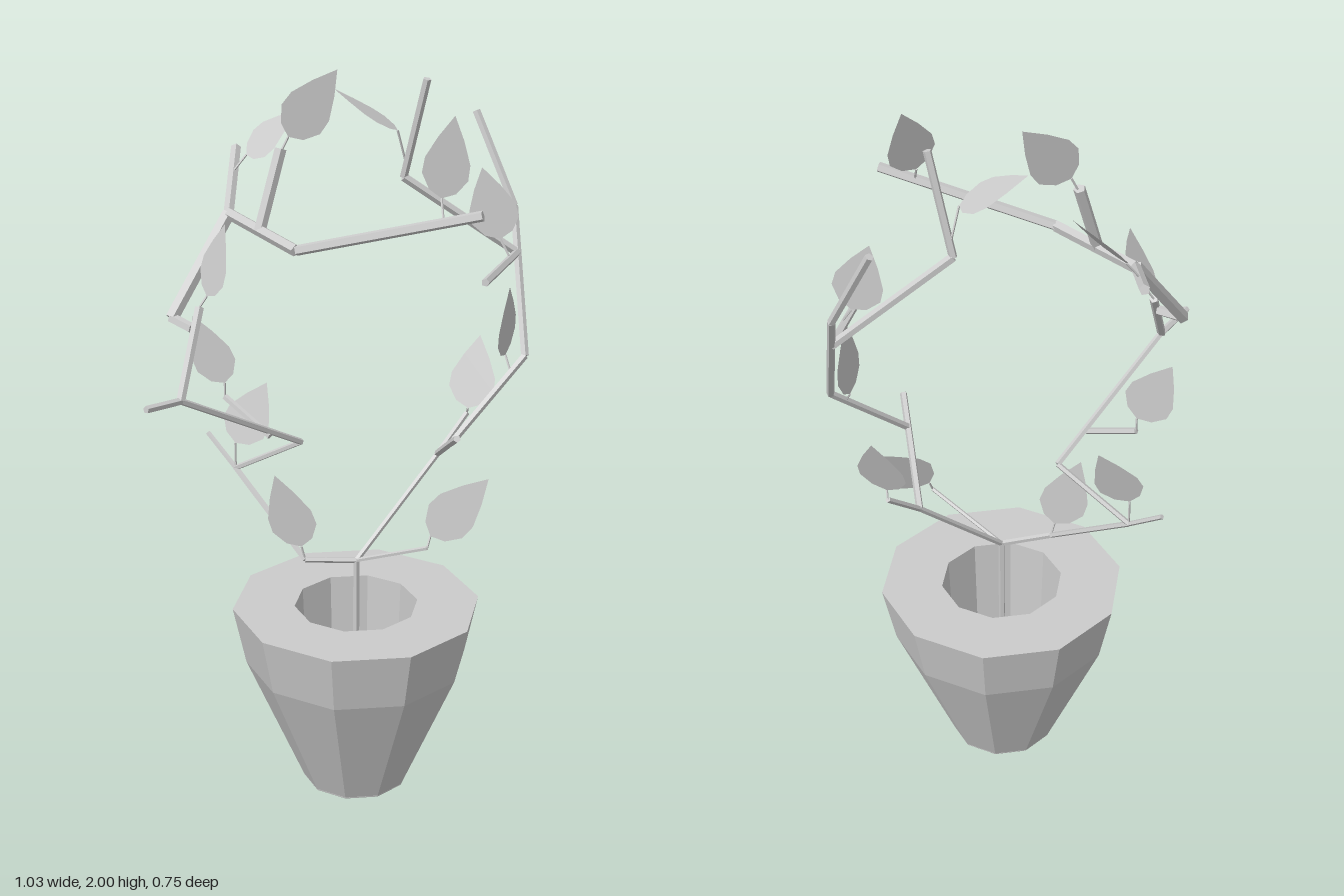
import * as THREE from 'three';

const grey = new THREE.MeshStandardMaterial({ color: 0xcccccc, flatShading: true });
const greyDouble = new THREE.MeshStandardMaterial({ color: 0xcccccc, flatShading: true, side: THREE.DoubleSide });
const V = (p) => new THREE.Vector3(...p);

// Straight rod with few sides between two points
function rod(name, a, b, r0, r1 = r0, sides = 5) {
  const dir = V(b).sub(V(a));
  const mesh = new THREE.Mesh(new THREE.CylinderGeometry(r1, r0, dir.length(), sides), grey);
  mesh.quaternion.setFromUnitVectors(new THREE.Vector3(0, 1, 0), dir.clone().normalize());
  mesh.position.copy(V(a)).addScaledVector(dir, 0.5);
  mesh.name = name;
  return mesh;
}

// Flat pointed leaf outline, length 1 along y, full width 1
const leafShape = new THREE.Shape([
  [0, 0], [0.28, 0.08], [0.48, 0.26], [0.47, 0.45], [0.27, 0.72],
  [0, 1], [-0.27, 0.72], [-0.47, 0.45], [-0.48, 0.26], [-0.28, 0.08],
].map(([x, y]) => new THREE.Vector2(x, y)));
const leafGeometry = new THREE.ShapeGeometry(leafShape);

// Leaf from base to tip, widened along side, with a thin stalk to its twig
function leaf({ base, tip, side, from }) {
  const group = new THREE.Group();
  group.name = 'leaf';
  const up = V(tip).sub(V(base));
  const unit = up.clone().normalize();
  const across = V(side);
  across.addScaledVector(unit, -across.dot(unit)).normalize();
  const normal = across.clone().cross(unit);
  const blade = new THREE.Mesh(leafGeometry, greyDouble);
  blade.name = 'leafBlade';
  blade.quaternion.setFromRotationMatrix(new THREE.Matrix4().makeBasis(across, unit, normal));
  blade.scale.set(0.135, up.length(), 1);
  blade.position.copy(V(base));
  group.add(blade, rod('leafStalk', from, base, 0.003, 0.003, 4));
  return group;
}

export function createModel() {
  const model = new THREE.Group();
  model.name = 'pottedTree';

  // Ten-sided hollow pot with a drain hole
  const profile = [[0.07, 0], [0.145, 0], [0.305, 0.375], [0.34, 0.54], [0.17, 0.54], [0.147, 0.003]];
  const pot = new THREE.Mesh(
    new THREE.LatheGeometry(profile.map(([x, y]) => new THREE.Vector2(x, y)), 10, Math.PI / 2),
    greyDouble);
  pot.name = 'pot';
  pot.position.set(0.05, 0, 0.05);
  model.add(pot);

  // Joints where branches meet
  const fork = [0.05, 0.67, 0.05];
  const l1 = [-0.09, 0.68, 0.05], l2 = [-0.26, 0.865, -0.17], l3 = [-0.09, 0.99, -0.04];
  const l4 = [-0.42, 1.22, 0.2], l5 = [-0.43, 1.38, 0.02], l6 = [-0.27, 1.62, -0.1];
  const l7 = [-0.12, 1.6, 0.17], twigLeft = [-0.29, 1.11, -0.09];
  const r1 = [0.22, 0.77, 0.2], r2 = [0.29, 0.92, -0.08], r2End = [0.38, 1.01, -0.145];
  const r3 = [0.29, 1.04, 0.13], r4 = [0.5, 1.24, 0.03], r5 = [0.5, 1.59, -0.18];
  const r6 = [0.5, 1.48, -0.115], r7 = [0.19, 1.7, -0.11];

  model.add(rod('trunk', [0.05, 0.3, 0.05], fork, 0.009));

  // [start, end, radius] of each branch, left half then right half
  const branches = [
    [fork, l1, 0.008], [l1, l2, 0.008], [l2, [-0.33, 0.94, -0.25], 0.007],
    [l2, l3, 0.008], [l3, l4, 0.009], [l4, [-0.51, 1.235, 0.285], 0.01],
    [[-0.18, 1.04, 0.03], twigLeft, 0.009],
    [l4, [-0.36, 1.42, 0.06], 0.012], [[-0.38, 1.37, 0.08], l5, 0.014],
    [l5, l6, 0.018], [l6, [-0.23, 1.72, -0.37], 0.014],
    [l6, l7, 0.016], [l7, [0.32, 1.725, 0.335], 0.014],
    [[-0.2, 1.61, 0.03], [-0.14, 1.81, -0.02], 0.016],
    [fork, r1, 0.006], [fork, r2, 0.008], [r2, r2End, 0.008],
    [r2, r3, 0.01], [r3, [0.29, 1.09, 0.22], 0.01],
    [r3, r4, 0.01], [r4, r5, 0.011], [r5, [0.41, 1.825, -0.285], 0.011],
    [r6, [0.36, 1.5, 0.18], 0.011], [r6, r7, 0.012], [r7, [0.24, 1.97, -0.06], 0.011],
  ];
  for (const [a, b, r] of branches) model.add(rod('branch', a, b, r));

  // Leaves
  const leaves = [
    { base: [-0.1, 0.72, 0.05], tip: [-0.17, 0.93, 0.04], side: [0.9, 0.3, 0.35], from: l1 },
    { base: [0.23, 0.8, 0.19], tip: [0.39, 0.94, 0.15], side: [-0.63, 0.75, -0.2], from: r1 },
    { base: [0.38, 1.03, -0.13], tip: [0.42, 1.22, -0.19], side: [0.85, 0.1, 0.45], from: r2End },
    { base: [0.45, 1.24, 0.02], tip: [0.45, 1.44, 0.05], side: [0.5, 0, -0.85], from: [0.46, 1.2, 0.05] },
    { base: [0.44, 1.54, -0.05], tip: [0.39, 1.73, -0.07], side: [0.9, 0.2, 0.4], from: [0.46, 1.5, -0.03] },
    { base: [0.23, 1.75, 0.26], tip: [0.27, 1.94, 0.2], side: [0.9, 0, -0.3], from: [0.23, 1.7, 0.3] },
    { base: [0.17, 1.83, -0.09], tip: [0.01, 1.93, -0.15], side: [0.4, -0.2, -0.85], from: [0.2, 1.72, -0.11] },
    { base: [-0.12, 1.84, -0.02], tip: [0.01, 2, -0.06], side: [0.75, -0.6, -0.1], from: [-0.14, 1.8, -0.02] },
    { base: [-0.21, 1.73, -0.26], tip: [-0.08, 1.85, -0.24], side: [0.2, -0.25, 0.9], from: [-0.25, 1.68, -0.26] },
    { base: [-0.34, 1.45, 0.06], tip: [-0.29, 1.64, 0.06], side: [0.4, 0, 0.9], from: [-0.36, 1.42, 0.06] },
    { base: [-0.29, 1.15, -0.09], tip: [-0.37, 1.33, -0.13], side: [0.8, 0.3, 0.5], from: twigLeft },
    { base: [-0.26, 0.94, -0.17], tip: [-0.17, 1.11, -0.18], side: [0.75, -0.4, 0.45], from: l2 },
  ];
  for (const l of leaves) model.add(leaf(l));

  return model;
}
